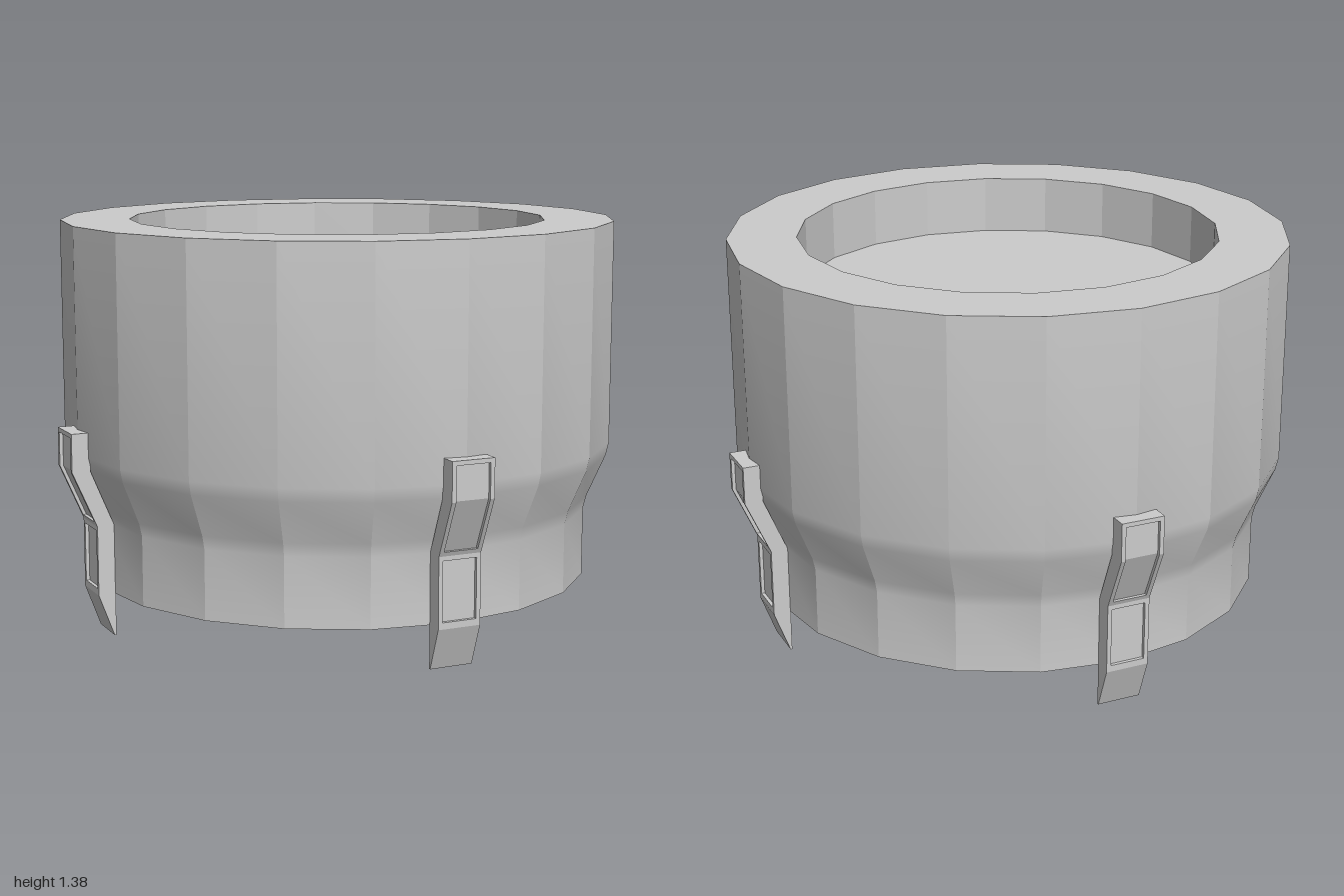
import * as THREE from 'three';
import { toCreasedNormals } from 'three/addons/utils/BufferGeometryUtils.js';

const SIDES = 20;

const points = (list) => list.map(([x, y]) => new THREE.Vector2(x, y));

// Extrude a side profile (radius, height) across the width z0..z1
function slab(profile, z0, z1) {
  const geo = new THREE.ExtrudeGeometry(new THREE.Shape(points(profile)), {
    depth: z1 - z0, bevelEnabled: false,
  });
  return geo.translate(0, 0, z0);
}

export function createModel() {
  const group = new THREE.Group();
  const grey = new THREE.MeshStandardMaterial({ color: 0xcccccc, side: THREE.DoubleSide });
  grey.name = 'light grey';

  const add = (parent, name, geo) => {
    const mesh = new THREE.Mesh(geo, grey);
    mesh.name = name;
    parent.add(mesh);
  };

  // Hollow body, open at the bottom: facets stay sharp, the shoulder is smooth
  const wall = points([
    [0.869, 0.15], [0.869, 0.385], [0.88, 0.43], [0.943, 0.575], [0.953, 0.62], [0.953, 1.38],
  ]);
  add(group, 'bodyWall', toCreasedNormals(new THREE.LatheGeometry(wall, SIDES), 0.28));

  // Flat rim and shallow recess in the top
  const top = points([[0.953, 1.38], [0.717, 1.38], [0.717, 1.18], [0, 1.18]]);
  add(group, 'rimAndRecess', toCreasedNormals(new THREE.LatheGeometry(top, SIDES), 0.28));

  // Clip profiles: the rails are full depth, the core is notched for two sunken panels
  const inner = [[0.935, 0.705], [0.935, 0.575], [0.856, 0.385], [0.856, 0.005]];
  const rail = [...inner, [0.862, 0.005], [0.915, 0.148], [0.915, 0.385], [0.998, 0.575], [0.998, 0.705]];
  const d = 0.012;
  const core = [
    ...inner, [0.862, 0.005], [0.915, 0.148],
    [0.915, 0.17], [0.915 - d, 0.17], [0.915 - d, 0.37], [0.915, 0.37],
    [0.915, 0.385], [0.9215, 0.4], [0.9215 - d, 0.4],
    [0.998 - d, 0.575], [0.998 - d, 0.69], [0.998, 0.69], [0.998, 0.705],
  ];

  // Four clips around the body
  for (let i = 0; i < 4; i++) {
    const clip = new THREE.Group();
    clip.name = 'clip' + (i + 1);
    add(clip, 'clipCore', slab(core, -0.06, 0.06));
    add(clip, 'clipRailA', slab(rail, 0.06, 0.075));
    add(clip, 'clipRailB', slab(rail, -0.075, -0.06));
    clip.rotation.y = (i * Math.PI) / 2;
    group.add(clip);
  }

  return group;
}
